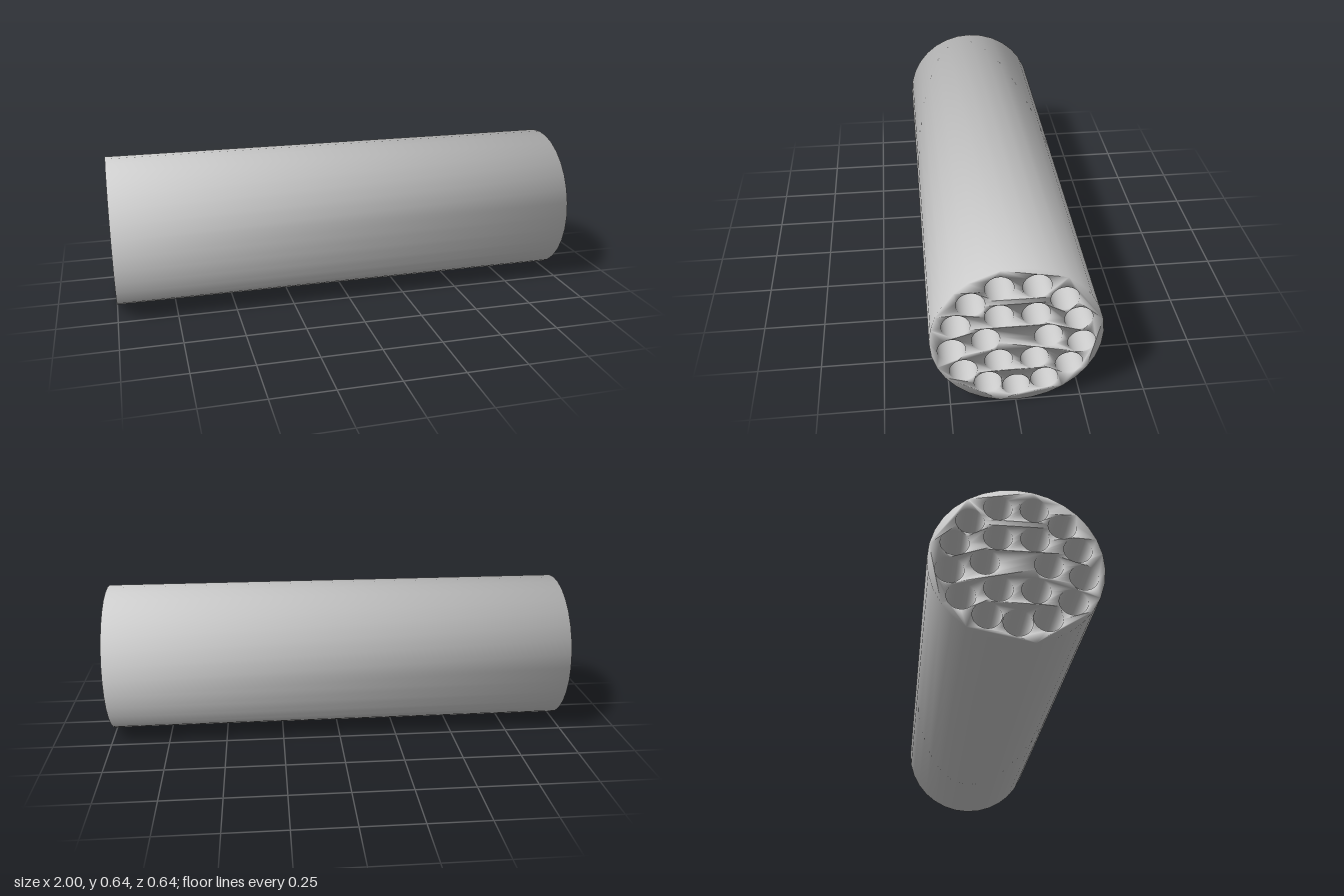
import * as THREE from 'three';
import { mergeVertices } from 'three/addons/utils/BufferGeometryUtils.js';

const RADIUS = 0.32, LENGTH = 2, BORE = 0.052;

// Bore centres on one half of the end face: [sideways, height above the axis]
const HALF_BORES = [
  [0.067, 0.235], [0.169, 0.17], [0.223, 0.073], [0.24, -0.041], [0.198, -0.145], [0.107, -0.215],
  [0.067, 0.107], [0.115, 0], [0.067, -0.106],
];

function circle(cx, cy, r, sides) {
  return Array.from({ length: sides }, (_, i) => {
    const a = (i / sides) * Math.PI * 2;
    return new THREE.Vector2(cx + r * Math.cos(a), cy + r * Math.sin(a));
  });
}

export function createModel() {
  const group = new THREE.Group();
  group.name = 'multiBoreTube';

  // Round section pierced by mirrored bores and one bore at the bottom
  const section = new THREE.Shape(circle(0, 0, RADIUS, 32));
  const bores = [[0, -0.239], ...HALF_BORES.flatMap(([x, y]) => [[x, y], [-x, y]])];
  for (const [x, y] of bores) section.holes.push(new THREE.Path(circle(x, y, BORE, 32)));

  let geometry = new THREE.ExtrudeGeometry(section, { depth: LENGTH, bevelEnabled: false });
  geometry.translate(0, 0, -LENGTH / 2).rotateY(Math.PI / 2);

  // Share vertices between walls and ends, so the shading is smooth throughout
  geometry.deleteAttribute('uv');
  geometry.deleteAttribute('normal');
  geometry = mergeVertices(geometry, 1e-5);
  geometry.computeVertexNormals();

  // Lean the rim normals outward along the axis for soft ends
  const position = geometry.attributes.position, normal = geometry.attributes.normal;
  const n = new THREE.Vector3();
  for (let i = 0; i < position.count; i++) {
    n.fromBufferAttribute(normal, i).setX(0).normalize();
    n.setX(0.7 * Math.sign(position.getX(i))).normalize();
    normal.setXYZ(i, n.x, n.y, n.z);
  }

  const body = new THREE.Mesh(geometry, new THREE.MeshStandardMaterial({ color: 0xcccccc }));
  body.name = 'tubeBody';
  body.position.y = RADIUS;
  group.add(body);
  return group;
}
